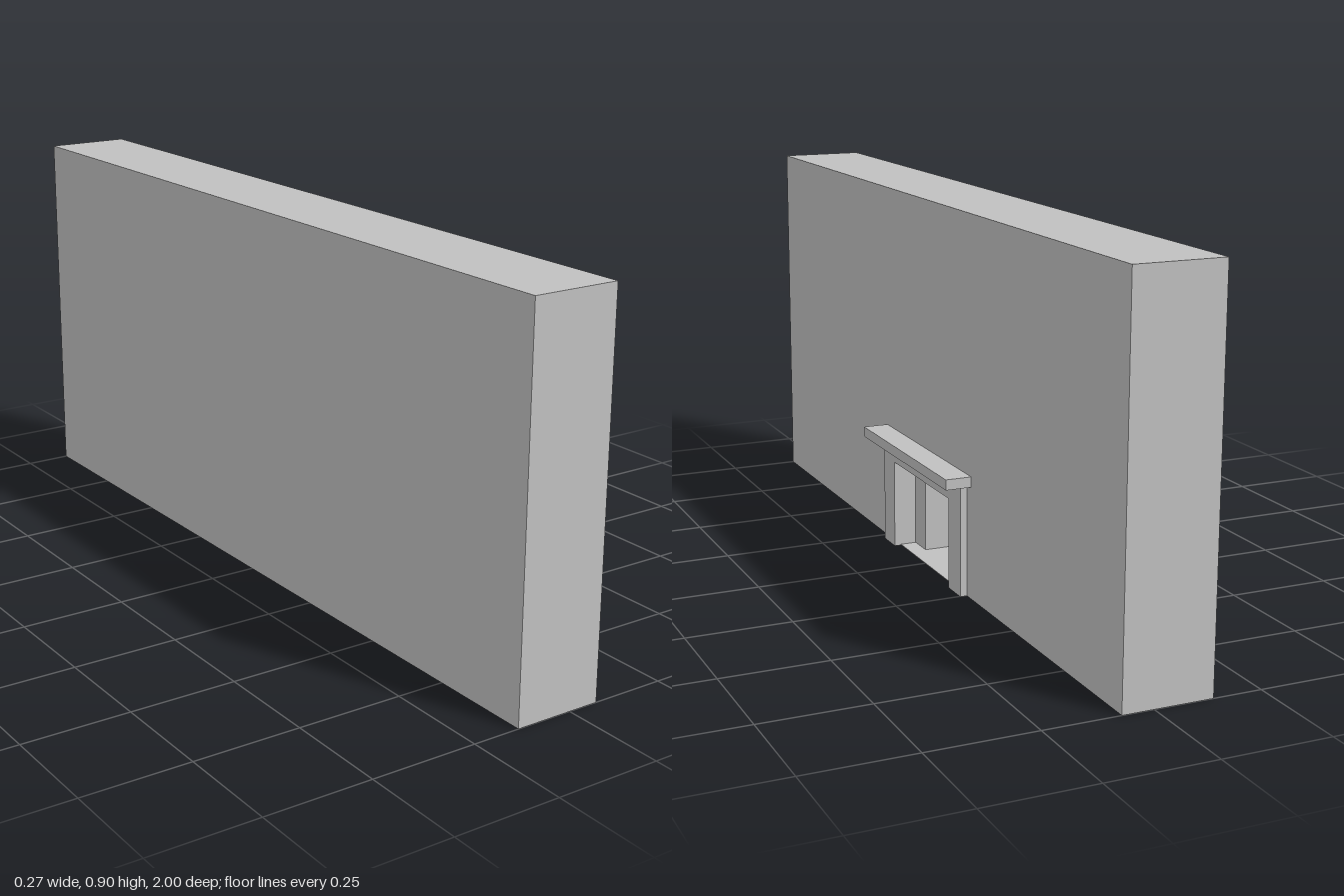
import * as THREE from 'three';

export function createModel() {
  const model = new THREE.Group();
  const stone = new THREE.MeshStandardMaterial({ color: 0xc0c0c0 });
  stone.name = 'grey plaster';

  const add = (name, geometry) => {
    const mesh = new THREE.Mesh(geometry, stone);
    mesh.name = name;
    model.add(mesh);
    return mesh;
  };

  const box = (name, [x0, x1], [y0, y1], [z0, z1]) =>
    add(name, new THREE.BoxGeometry(x1 - x0, y1 - y0, z1 - z0))
      .position.set((x0 + x1) / 2, (y0 + y1) / 2, (z0 + z1) / 2);

  // Slab across x, with a doorway-shaped gap rising from the floor
  const OPENING_TOP = 0.22;
  const archSlab = (name, [x0, x1], [z0, z1], height, [gap0, gap1]) => {
    const outline = [
      [-z1, 0], [-gap1, 0], [-gap1, OPENING_TOP], [-gap0, OPENING_TOP],
      [-gap0, 0], [-z0, 0], [-z0, height], [-z1, height],
    ].map(([u, v]) => new THREE.Vector2(u, v));
    const geometry = new THREE.ExtrudeGeometry(new THREE.Shape(outline),
      { depth: x1 - x0, bevelEnabled: false });
    geometry.rotateY(Math.PI / 2).translate(x0, 0, 0);
    add(name, geometry);
  };

  const wideGap = [-0.185, 0.155];
  const narrowGap = [-0.12, 0.09];
  const wallSpan = [-1, 1];
  const wallHeight = 0.9;

  // Wall in three layers, so the firebox steps inwards
  box('wallBack', [-0.137, -0.043], [0, wallHeight], wallSpan);
  archSlab('wallMiddle', [-0.043, 0.033], wallSpan, wallHeight, narrowGap);
  archSlab('wallFace', [0.033, 0.073], wallSpan, wallHeight, wideGap);

  // Firebox floor
  box('hearthInner', [-0.043, 0.033], [0, 0.002], narrowGap);
  box('hearthOuter', [0.033, 0.073], [0, 0.002], wideGap);

  // Surround and mantel shelf
  archSlab('surround', [0.073, 0.09], [-0.253, 0.222], 0.27, wideGap);
  box('mantelShelf', [0.073, 0.136], [0.27, 0.295], [-0.275, 0.243]);

  return model;
}
